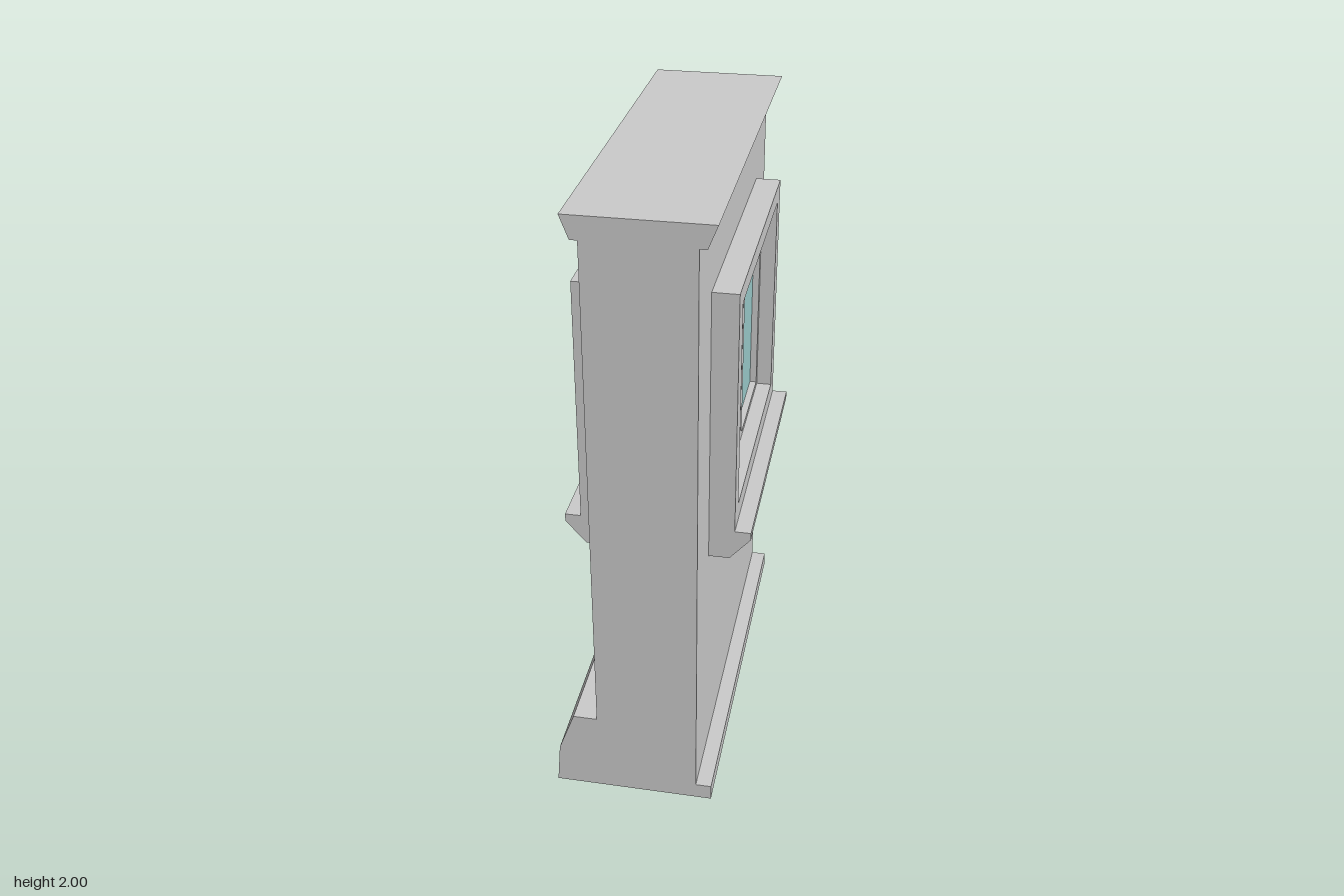
import * as THREE from 'three';
import { toCreasedNormals } from 'three/addons/utils/BufferGeometryUtils.js';

const grey = new THREE.MeshStandardMaterial({ color: 0xcccccc });
const glass = new THREE.MeshStandardMaterial({ color: 0x9ccccc });

function shapeOf(points) {
  return new THREE.Shape(points.map(([x, y]) => new THREE.Vector2(x, y)));
}

function rect(u0, u1, v0, v1) {
  return [[u0, v0], [u1, v0], [u1, v1], [u0, v1]];
}

function add(parent, name, geometry, material = grey) {
  const mesh = new THREE.Mesh(toCreasedNormals(geometry, 0.8), material);
  mesh.name = name;
  parent.add(mesh);
  return mesh;
}

// Extrude a shape along z, centred on z = 0
function extrudeCentred(shape, length) {
  return new THREE.ExtrudeGeometry(shape, { depth: length, bevelEnabled: false })
    .translate(0, 0, -length / 2);
}

// Extrude a face shape with rectangular holes outwards from a wall face
function facePanel(outer, holes, from, to) {
  const shape = shapeOf(outer);
  for (const hole of holes) shape.holes.push(shapeOf(hole));
  return new THREE.ExtrudeGeometry(shape, { depth: to - from, bevelEnabled: false })
    .translate(0, 0, from)
    .rotateY(Math.PI / 2);
}

// Window built on a wall face at x = 0, projecting along +x
function createWindow(name) {
  const group = new THREE.Group();
  group.name = name;

  add(group, 'surround', facePanel(
    rect(-0.45, 0.45, 0.92, 1.715), [rect(-0.385, 0.385, 0.98, 1.66)], 0, 0.08));

  // Sill with a chamfered underside
  add(group, 'sill', extrudeCentred(shapeOf(
    [[0, 0.82], [0.065, 0.82], [0.13, 0.895], [0.13, 0.92], [0, 0.92]]), 0.9));

  // Casement bars and the two panes
  const panes = [rect(-0.365, -0.016, 0.996, 1.643), rect(0.016, 0.365, 0.996, 1.643)];
  add(group, 'casement', facePanel(rect(-0.385, 0.385, 0.98, 1.66), panes, 0, 0.03));
  for (const pane of panes) add(group, 'pane', facePanel(pane, [], 0, 0.008), glass);
  return group;
}

export function createModel() {
  const model = new THREE.Group();
  model.name = 'wallSection';
  const depth = 1.31;

  add(model, 'wall', extrudeCentred(shapeOf(rect(-0.138, 0.185, 0, 1.93)), depth));

  // Flared coping on top
  add(model, 'coping', extrudeCentred(shapeOf(
    [[-0.16, 1.93], [0.207, 1.93], [0.235, 2], [-0.187, 2]]), depth));

  // Sloped plinth on one side, thin skirting on the other
  add(model, 'plinth', extrudeCentred(shapeOf(
    [[-0.277, 0], [-0.138, 0], [-0.138, 0.28], [-0.215, 0.28], [-0.266, 0.14]]), depth));
  add(model, 'skirting', extrudeCentred(shapeOf(rect(0.185, 0.235, 0, 0.053)), depth));

  // Matching windows on both faces
  const leftWindow = createWindow('leftWindow');
  leftWindow.position.x = 0.185;
  const rightWindow = createWindow('rightWindow');
  rightWindow.rotation.y = Math.PI;
  rightWindow.position.x = -0.138;
  rightWindow.children[1].position.x = 0.05;
  rightWindow.children[1].position.x = 0;
  model.add(leftWindow, rightWindow);

  return model;
}
